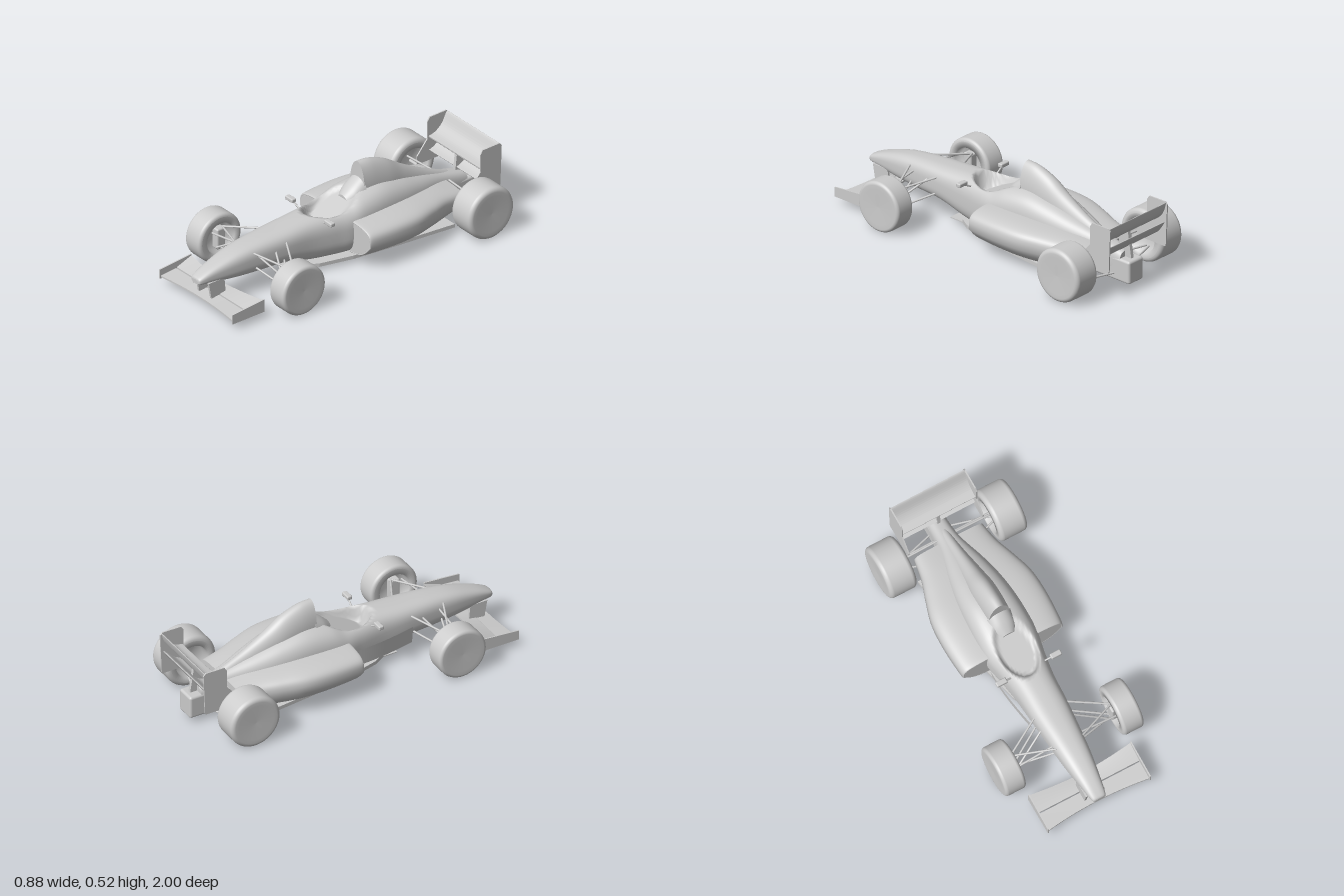
import * as THREE from 'three';
import { RoundedBoxGeometry } from 'three/addons/geometries/RoundedBoxGeometry.js';

const grey = new THREE.MeshStandardMaterial({ color: 0xcccccc });
const greyBoth = new THREE.MeshStandardMaterial({ color: 0xcccccc, side: THREE.DoubleSide });

export function createModel() {
  const car = new THREE.Group();
  car.name = 'racingCar';

  const add = (name, geometry, material = grey) => {
    const mesh = new THREE.Mesh(geometry, material);
    mesh.name = name;
    car.add(mesh);
    return mesh;
  };

  // Uniform Catmull-Rom through rows of numbers
  const spline = (rows, i, t) => {
    const at = k => rows[Math.min(Math.max(k, 0), rows.length - 1)];
    const [a, b, c, d] = [at(i - 1), at(i), at(i + 1), at(i + 2)];
    return b.map((v, k) => v + 0.5 * t * (c[k] - a[k]
      + t * (2 * a[k] - 5 * v + 4 * c[k] - d[k] + t * (3 * (v - c[k]) + d[k] - a[k]))));
  };

  // Skin over superellipse sections [z, half width, top, bottom], listed front to back
  const loft = (rows, power, rule = p => p, ring = 64, sub = 8) => {
    const pos = [], index = [];
    const count = (rows.length - 1) * sub;
    const round = v => Math.sign(v) * Math.pow(Math.abs(v), 2 / power);
    for (let i = 0; i <= count; i++) {
      const k = Math.min(Math.floor(i / sub), rows.length - 2);
      const [z, hw, top, bot] = spline(rows, k, i / sub - k);
      for (let j = 0; j < ring; j++) {
        const a = (j / ring) * Math.PI * 2;
        const s = round(Math.sin(a));
        const p = rule({ x: hw * round(Math.cos(a)), y: (top + bot) / 2 + s * (top - bot) / 2, z, s });
        pos.push(p.x, p.y, p.z);
      }
    }
    for (let i = 0; i < count; i++) {
      for (let j = 0; j < ring; j++) {
        const n = (j + 1) % ring, r = i * ring, q = r + ring;
        index.push(r + j, q + j, r + n, q + j, q + n, r + n);
      }
    }
    // End caps with their own vertices
    for (const [row, front] of [[0, true], [count, false]]) {
      const base = pos.length / 3, from = row * ring * 3;
      let cy = 0;
      for (let j = 0; j < ring; j++) {
        const [x, y, z] = pos.slice(from + j * 3, from + j * 3 + 3);
        pos.push(x, y, z);
        cy += y / ring;
      }
      pos.push(0, cy, pos[from + 2]);
      for (let j = 0; j < ring; j++) {
        const n = base + (j + 1) % ring;
        index.push(base + ring, front ? base + j : n, front ? n : base + j);
      }
    }
    const g = new THREE.BufferGeometry();
    g.setAttribute('position', new THREE.Float32BufferAttribute(pos, 3));
    g.setIndex(index);
    g.computeVertexNormals();
    return g;
  };

  // Side outline of [z, y] points extruded from x0 to x1
  const slab = (pts, x0, x1, curved = false) => {
    const v = pts.map(p => new THREE.Vector2(...p));
    const shape = new THREE.Shape(curved ? new THREE.SplineCurve([...v, v[0]]).getPoints(40) : v);
    return new THREE.ExtrudeGeometry(shape, { depth: x1 - x0, bevelEnabled: false })
      .rotateY(-Math.PI / 2).translate(x1, 0, 0);
  };

  const strut = (name, a, b, r = 0.006) => {
    const p = new THREE.Vector3(...a), q = new THREE.Vector3(...b);
    const m = add(name, new THREE.CylinderGeometry(r, r, p.distanceTo(q), 10));
    m.position.copy(p).lerp(q, 0.5);
    m.quaternion.setFromUnitVectors(new THREE.Vector3(0, 1, 0), q.sub(p).normalize());
  };

  // Nose, tub and engine cover, with the cockpit hollowed from the top
  const cockpit = p => {
    const e = (p.x / 0.115) ** 2 + ((p.z - 0.04) / 0.18) ** 2;
    if (p.s > 0 && e < 1) {
      const floor = THREE.MathUtils.mapLinear(p.z, 0.2, -0.13, 0.22, 0.37);
      p.y += (Math.min(floor, p.y) - p.y) * THREE.MathUtils.smoothstep(1 - e, 0, 0.35);
    }
    return p;
  };
  add('chassis', loft([
    [1.0, 0.028, 0.192, 0.166], [0.985, 0.043, 0.208, 0.16], [0.9, 0.06, 0.245, 0.15],
    [0.75, 0.083, 0.288, 0.132], [0.6, 0.098, 0.309, 0.122], [0.42, 0.113, 0.321, 0.113],
    [0.25, 0.123, 0.332, 0.07], [0.1, 0.145, 0.338, 0.05], [0, 0.165, 0.345, 0.045],
    [-0.1, 0.17, 0.377, 0.04], [-0.25, 0.165, 0.388, 0.04], [-0.4, 0.15, 0.36, 0.04],
    [-0.55, 0.12, 0.315, 0.045], [-0.74, 0.07, 0.255, 0.05], [-0.9, 0.058, 0.215, 0.06],
  ], 2.9, cockpit));

  // Headrest, airbox and spine
  add('headrest', loft([[-0.05, 0.05, 0.35, 0.22], [-0.1, 0.075, 0.395, 0.22], [-0.165, 0.08, 0.44, 0.22]], 2.3));
  add('airbox', loft([
    [-0.157, 0.066, 0.53, 0.2], [-0.24, 0.07, 0.522, 0.2], [-0.35, 0.07, 0.48, 0.2],
    [-0.45, 0.06, 0.415, 0.2], [-0.55, 0.05, 0.357, 0.18], [-0.65, 0.04, 0.306, 0.17], [-0.8, 0.03, 0.24, 0.16],
  ], 2));

  // Sidepods, tucked in towards the floor and pinched at the tail
  add('sidepods', loft([
    [0.0, 0.305, 0.262, 0.07], [-0.02, 0.32, 0.273, 0.058], [-0.2, 0.33, 0.278, 0.048], [-0.36, 0.32, 0.274, 0.045],
    [-0.5, 0.28, 0.262, 0.045], [-0.62, 0.24, 0.247, 0.05], [-0.74, 0.218, 0.225, 0.075],
  ], 4.5, p => {
    if (p.s < 0) p.x *= 1 + 0.27 * p.s;
    return p;
  }));

  // Floor, widening towards the rear
  const half = [[0.07, 0.27], [0.11, 0.2], [0.16, 0], [0.2, -0.3], [0.24, -0.66]];
  const outline = [...half, ...half.map(([x, z]) => [-x, z]).reverse()];
  add('floor', new THREE.ExtrudeGeometry(
    new THREE.Shape(outline.map(([x, z]) => new THREE.Vector2(x, -z))),
    { depth: 0.022, bevelEnabled: false }).rotateX(-Math.PI / 2).translate(0, 0.03, 0));
  add('splitter', new THREE.BoxGeometry(0.14, 0.006, 0.12)).position.set(0, 0.032, 0.3);

  // Tail structure
  add('gearbox', new RoundedBoxGeometry(0.12, 0.14, 0.27, 3, 0.015)).position.set(0, 0.11, -0.84);

  // Flow panel beside the tub on the right
  const panel = new THREE.PlaneGeometry(1, 0.11, 10, 4);
  const pp = panel.attributes.position;
  for (let i = 0; i < pp.count; i++) {
    const t = pp.getX(i) + 0.5, y = pp.getY(i) + 0.155;
    pp.setXYZ(i, -0.12 - 0.045 * Math.sin(t * Math.PI / 2) - (y - 0.15) * 0.12, y, 0.43 - 0.38 * t);
  }
  panel.computeVertexNormals();
  add('flowPanel', panel, greyBoth);

  // Front wing: main plane and flap, shaped from flat boxes
  const wing = (name, rule) => {
    const g = new THREE.BoxGeometry(2, 0.01, 1, 32, 1, 8);
    const p = g.attributes.position;
    for (let i = 0; i < p.count; i++) {
      const [z, y] = rule(p.getX(i), p.getZ(i) + 0.5);
      p.setXYZ(i, p.getX(i) * 0.322, p.getY(i) + y, z);
    }
    g.computeVertexNormals();
    add(name, g);
  };
  wing('frontWingMainPlane', (u, t) => [0.88 + t * (0.085 + 0.024 * u * u), 0.07 - 0.01 * t]);
  wing('frontWingFlap', (u, t) => {
    const back = 0.788 - 0.018 * u * u;
    return [back + t * (0.874 - back), 0.074 + (1 - t) * (0.008 + 0.03 * Math.abs(u))];
  });

  // Rear wing elements
  add('rearWingFlap', slab([[-0.852, 0.335], [-0.9, 0.348], [-0.945, 0.385], [-0.978, 0.445],
    [-0.986, 0.442], [-0.96, 0.375], [-0.91, 0.33], [-0.86, 0.322]], -0.235, 0.235, true));
  add('rearWingBeam', slab([[-0.855, 0.245], [-0.9, 0.265], [-0.965, 0.325],
    [-0.97, 0.315], [-0.92, 0.25], [-0.87, 0.235]], -0.235, 0.235, true));
  add('rearWingMount', slab([[-0.84, 0.15], [-0.86, 0.33], [-0.92, 0.34], [-0.95, 0.15]], -0.01, 0.01));

  // Tyre with rounded shoulders and a hollow inner rim
  const tyre = (name, side, x, z, r, w, bevel) => {
    const h = w / 2, pts = [[0, -h + 0.05], [r * 0.6, -h + 0.05], [r * 0.64, -h], [r - bevel, -h]];
    for (const [cy, from] of [[-h + bevel, -Math.PI / 2], [h - bevel, 0]]) {
      for (let k = 0; k <= 5; k++) {
        const a = from + k / 5 * Math.PI / 2;
        pts.push([r - bevel + bevel * Math.cos(a), cy + bevel * Math.sin(a)]);
      }
    }
    pts.push([r * 0.7, h], [0, h - 0.004]);
    const g = new THREE.LatheGeometry(pts.map(p => new THREE.Vector2(...p)), 48).rotateZ(-side * Math.PI / 2);
    add(name, g, greyBoth).position.set(side * x, r + 0.005, z);
  };

  // Paired parts
  for (const s of [1, -1]) {
    const n = s > 0 ? 'left' : 'right';
    tyre(n + 'FrontWheel', s, 0.375, 0.57, 0.152, 0.132, 0.02);
    tyre(n + 'RearWheel', s, 0.351, -0.77, 0.16, 0.174, 0.026);

    add(n + 'FrontWingEndplate', slab([[0.768, 0.047], [0.995, 0.047], [0.995, 0.105], [0.768, 0.125]],
      s * 0.324 - 0.004, s * 0.324 + 0.004));
    add(n + 'NosePylon', slab([[0.83, 0.07], [0.93, 0.06], [0.95, 0.17], [0.84, 0.17]],
      s * 0.054 - 0.007, s * 0.054 + 0.007));
    add(n + 'RearWingEndplate', slab([[-0.985, 0.19], [-0.995, 0.44], [-0.98, 0.455], [-0.86, 0.453], [-0.845, 0.43],
      [-0.845, 0.32], [-0.77, 0.23], [-0.77, 0.18], [-0.98, 0.18]], s * 0.236 - 0.004, s * 0.236 + 0.004));

    // Mirrors on stalks
    add(n + 'Mirror', new RoundedBoxGeometry(0.066, 0.025, 0.032, 3, 0.007)).position.set(s * 0.173, 0.333, 0.18);
    strut(n + 'MirrorStalk', [s * 0.1, 0.295, 0.17], [s * 0.165, 0.328, 0.18], 0.005);

    // Front suspension
    strut(n + 'UpperArmFront', [s * 0.085, 0.268, 0.65], [s * 0.32, 0.224, 0.55]);
    strut(n + 'UpperArmRear', [s * 0.1, 0.268, 0.43], [s * 0.32, 0.224, 0.55]);
    strut(n + 'SteeringArm', [s * 0.09, 0.243, 0.62], [s * 0.32, 0.205, 0.62]);
    strut(n + 'LowerArmFront', [s * 0.075, 0.178, 0.64], [s * 0.32, 0.1, 0.57]);
    strut(n + 'LowerArmRear', [s * 0.09, 0.165, 0.44], [s * 0.32, 0.1, 0.57]);
    strut(n + 'PushRod', [s * 0.09, 0.24, 0.5], [s * 0.31, 0.11, 0.6]);
    add(n + 'FrontUpright', new RoundedBoxGeometry(0.05, 0.13, 0.06, 2, 0.01)).position.set(s * 0.325, 0.16, 0.57);

    // Rear suspension
    strut(n + 'DriveShaft', [s * 0.05, 0.165, -0.785], [s * 0.33, 0.165, -0.785], 0.009);
    strut(n + 'RearUpperArm', [s * 0.05, 0.215, -0.765], [s * 0.33, 0.2, -0.765]);
    strut(n + 'RearLowerArmFront', [s * 0.06, 0.08, -0.68], [s * 0.33, 0.09, -0.77]);
    strut(n + 'RearLowerArmRear', [s * 0.05, 0.08, -0.86], [s * 0.33, 0.09, -0.78]);
  }
  return car;
}
